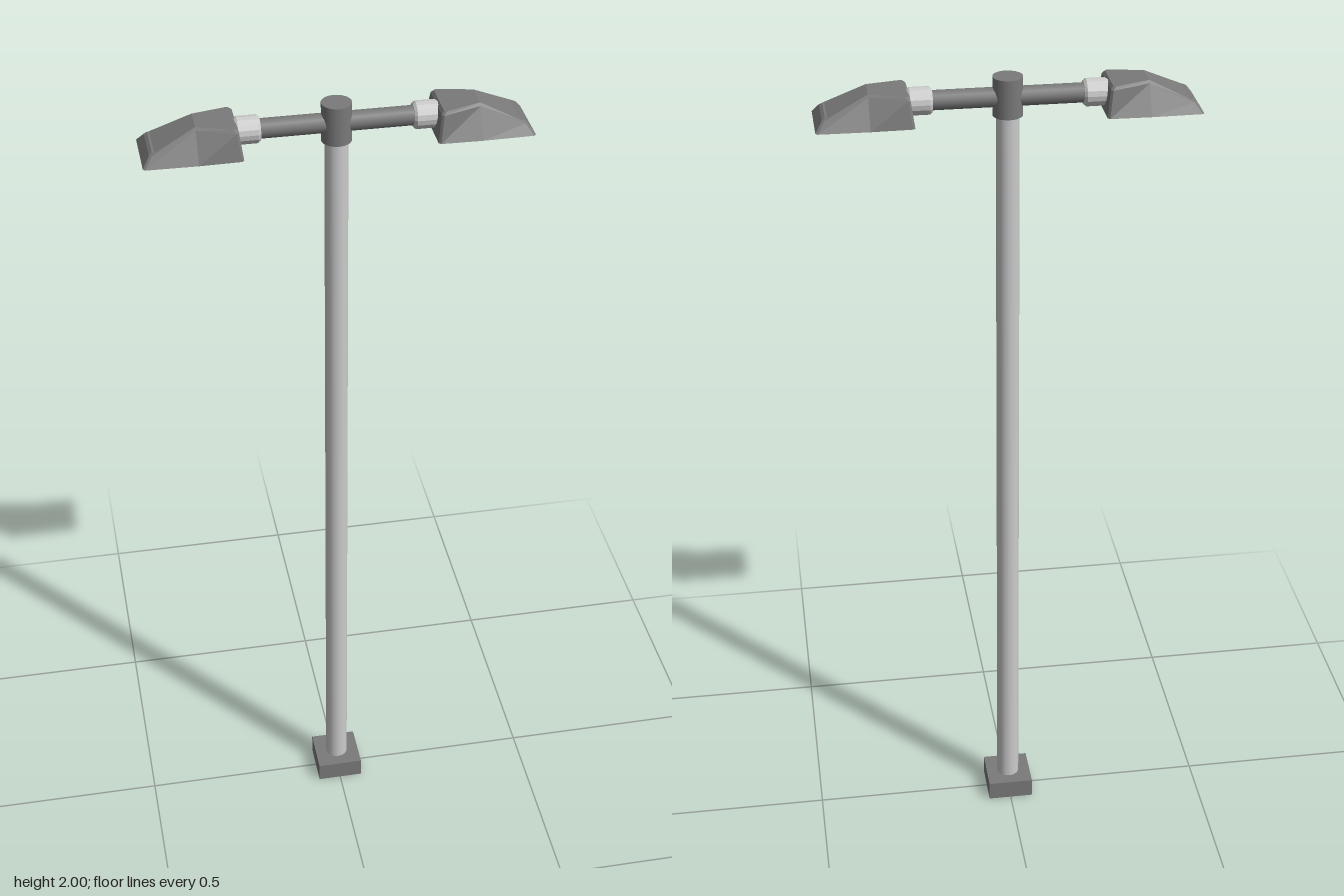
import * as THREE from 'three';

const lightGrey = new THREE.MeshStandardMaterial({ color: 0xcccccc });
const collarGrey = new THREE.MeshStandardMaterial({ color: 0xd8d8d8, flatShading: true });
const darkGrey = new THREE.MeshStandardMaterial({ color: 0x7a7a7a });
const flatDarkGrey = new THREE.MeshStandardMaterial({ color: 0x7a7a7a, flatShading: true });
const lampYellow = new THREE.MeshStandardMaterial({ color: 0xf0e6a8 });

function add(parent, name, geometry, material, x = 0, y = 0, z = 0) {
  const mesh = new THREE.Mesh(geometry, material);
  mesh.name = name;
  mesh.position.set(x, y, z);
  parent.add(mesh);
}

// Cylinder lying along x from x0 to x1
function rod(r, x0, x1, sides) {
  return new THREE.CylinderGeometry(r, r, x1 - x0, sides)
    .rotateZ(-Math.PI / 2).translate((x0 + x1) / 2, 0, 0);
}

// Ring symmetric in z with cut corners; each station is [x, y, half width]
function ring([a, m, b], cut) {
  const side = [
    [a[0], a[1], a[2] - cut], [a[0] + cut, a[1], a[2]], m,
    [b[0] - cut, b[1], b[2]], [b[0], b[1], b[2] - cut],
  ];
  return [...side, ...side.map(([x, y, z]) => [x, y, -z]).reverse()];
}

// Skin through stacked rings, closed by strips at both ends
function skin(rings) {
  const pos = [];
  const quad = (a, b, c, d) => pos.push(...a, ...b, ...c, ...a, ...c, ...d);
  const n = rings[0].length;
  for (let k = 0; k < rings.length - 1; k++) {
    for (let i = 0; i < n; i++) {
      const j = (i + 1) % n;
      quad(rings[k][i], rings[k][j], rings[k + 1][j], rings[k + 1][i]);
    }
  }
  const first = rings[0], last = rings[rings.length - 1];
  for (let i = 0; i < n / 2 - 1; i++) {
    quad(last[i], last[i + 1], last[n - 2 - i], last[n - 1 - i]);
    quad(first[n - 1 - i], first[n - 2 - i], first[i + 1], first[i]);
  }
  const g = new THREE.BufferGeometry();
  g.setAttribute('position', new THREE.Float32BufferAttribute(pos, 3));
  g.computeVertexNormals();
  return g;
}

// Arm, collar, hollow lamp head and tube, pointing along +x
function lampArm() {
  const arm = new THREE.Group();
  const y = 1.953;
  add(arm, 'arm', rod(0.022, 0, 0.2, 16), darkGrey, 0, y);

  const profile = [[0, 0.168], [0.026, 0.168], [0.031, 0.174], [0.031, 0.218], [0.026, 0.225], [0, 0.225]]
    .map(([r, h]) => new THREE.Vector2(r, h));
  add(arm, 'collar', new THREE.LatheGeometry(profile, 16).rotateZ(-Math.PI / 2), collarGrey, 0, y);

  // Inner ceiling, inner rim, outer rim, then the bevelled top edge
  add(arm, 'lampHead', skin([
    ring([[0.236, 1.964, 0.044], [0.31, 1.966, 0.026], [0.385, 1.938, 0.04]], 0.005),
    ring([[0.225, 1.916, 0.062], [0.31, 1.916, 0.065], [0.414, 1.916, 0.062]], 0.005),
    ring([[0.212, 1.916, 0.073], [0.31, 1.916, 0.075], [0.429, 1.916, 0.073]], 0.005),
    ring([[0.22, 1.976, 0.06], [0.31, 1.98, 0.037], [0.413, 1.938, 0.055]], 0.005),
    ring([[0.226, 1.983, 0.054], [0.31, 1.986, 0.031], [0.406, 1.943, 0.05]], 0.005),
  ]), flatDarkGrey);

  add(arm, 'lampTube', rod(0.012, 0.247, 0.347, 12), lampYellow, 0, 1.936);
  return arm;
}

export function createModel() {
  const model = new THREE.Group();

  // Square foot, hollow underneath
  const square = (Type, h) => new Type([[-h, -h], [h, -h], [h, h], [-h, h]].map(([x, y]) => new THREE.Vector2(x, y)));
  const footShape = square(THREE.Shape, 0.057);
  footShape.holes.push(square(THREE.Path, 0.04));
  add(model, 'baseWalls', new THREE.ExtrudeGeometry(footShape, { depth: 0.03, bevelEnabled: false })
    .rotateX(-Math.PI / 2), darkGrey);
  add(model, 'basePlate', new THREE.BoxGeometry(0.114, 0.02, 0.114), darkGrey, 0, 0.04);

  // Slightly tapered pole and its cap
  add(model, 'pole', new THREE.CylinderGeometry(0.0267, 0.0285, 1.89, 16), lightGrey, 0, 0.985);
  add(model, 'poleCap', new THREE.CylinderGeometry(0.034, 0.034, 0.09, 20), darkGrey, 0, 1.955);

  // Two opposite lamp arms
  for (const [name, angle] of [['leftLamp', 0], ['rightLamp', Math.PI]]) {
    const lamp = lampArm();
    lamp.name = name;
    lamp.rotation.y = angle;
    model.add(lamp);
  }
  return model;
}
